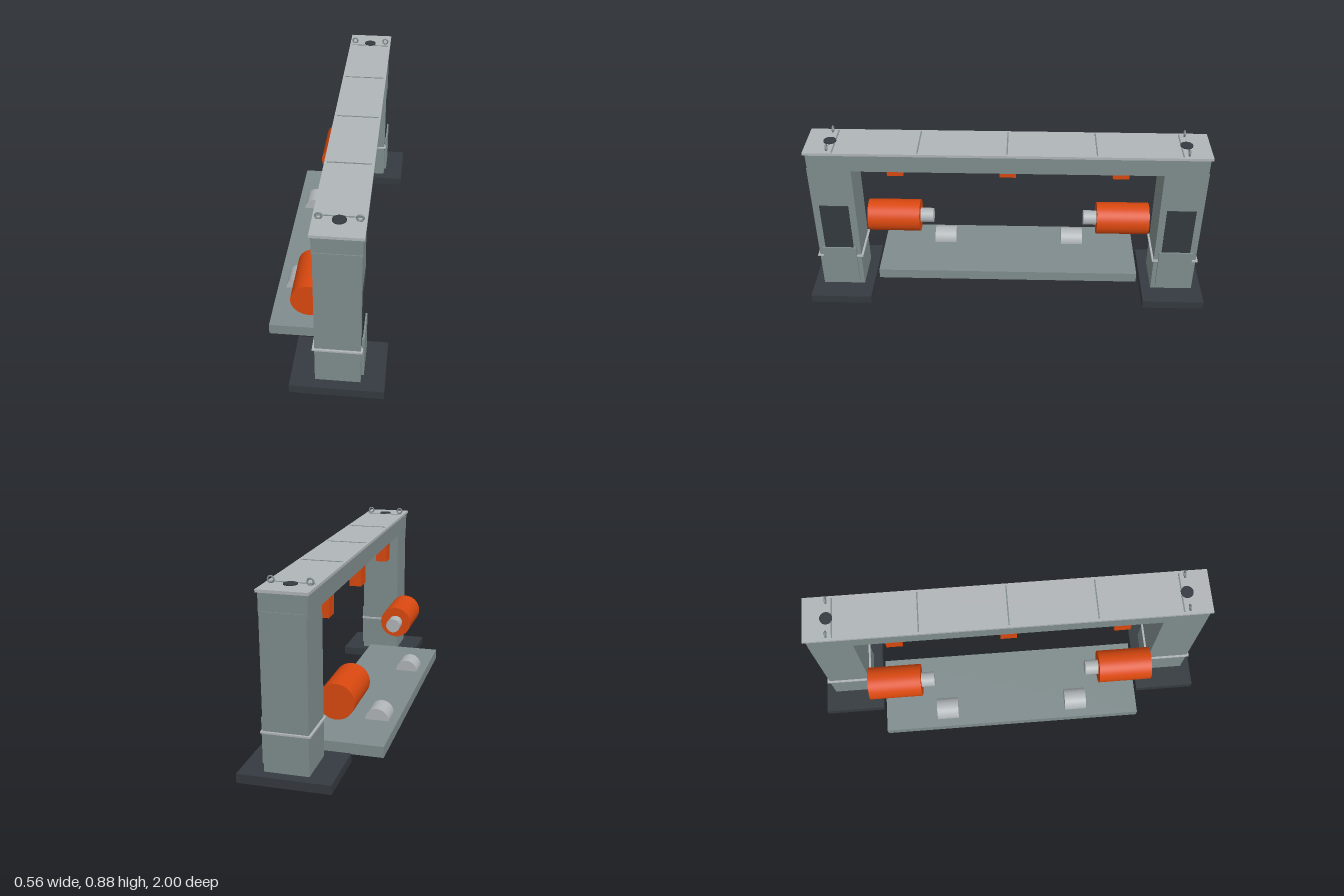
import * as THREE from 'three';

const mat = (name, color) => {
  const m = new THREE.MeshStandardMaterial({ color });
  m.name = name;
  return m;
};

export function createModel() {
  const steel = mat('steel grey', 0x7f8c8d);
  const light = mat('light grey', 0xb0b5b8);
  const dark = mat('dark charcoal', 0x343a40);
  const orange = mat('orange', 0xd9480f);

  const model = new THREE.Group();
  model.name = 'gantryFrame';

  const add = (name, geometry, material, x, y, z) => {
    const mesh = new THREE.Mesh(geometry, material);
    mesh.name = name;
    mesh.position.set(x, y, z);
    model.add(mesh);
    return mesh;
  };
  // box given by its extents on each axis
  const box = (name, material, [x0, x1], [y0, y1], [z0, z1]) =>
    add(name, new THREE.BoxGeometry(x1 - x0, y1 - y0, z1 - z0), material,
      (x0 + x1) / 2, (y0 + y1) / 2, (z0 + z1) / 2);
  // cylinder lying along z, centred at z
  const rod = (name, material, r, length, x, y, z) =>
    add(name, new THREE.CylinderGeometry(r, r, length, 48).rotateX(Math.PI / 2), material, x, y, z);

  // crossbeam and its cover plate
  box('beam', steel, [-0.035, 0.175], [0.74, 0.83], [-0.947, 0.947]);
  box('beamCover', light, [-0.042, 0.182], [0.83, 0.843], [-0.958, 0.958]);
  for (const z of [-0.82, -0.42, 0, 0.42, 0.82])
    box('coverSeam', steel, [-0.03, 0.17], [0.842, 0.845], [z - 0.003, z + 0.003]);

  // low platform between the columns
  box('platform', steel, [-0.283, 0.112], [0.028, 0.081], [-0.672, 0.672]);

  // sensor blocks hanging under the beam
  for (const z of [-0.555, 0, 0.555])
    box('sensorBlock', orange, [-0.015, 0.045], [0.63, 0.742], [z - 0.04, z + 0.04]);

  // parts repeated at both ends
  for (const s of [1, -1]) {
    const c = s * 0.846;
    const span = (half) => [c - half, c + half];
    box('basePlate', dark, [-0.14, 0.28], [0, 0.042], span(0.154));
    box('column', steel, [-0.03, 0.172], [0.042, 0.75], span(0.105));
    box('columnBand', light, [-0.04, 0.18], [0.222, 0.23], span(0.115));
    box('serviceDoor', dark, [0.17, 0.177], [0.19, 0.535], span(0.071));
    box('lowerPanel', steel, [0.174, 0.185], [0.067, 0.281], span(0.084));

    // side motor with its shaft
    rod('motor', orange, 0.083, 0.27, -0.083, 0.298, s * 0.595);
    rod('motorShaft', light, 0.038, 0.08, -0.083, 0.298, s * 0.432);

    // roller sunk into the platform
    rod('roller', light, 0.057, 0.113, -0.185, 0.081, s * 0.342);

    // cable port and lifting eyes on top
    add('cablePort', new THREE.CylinderGeometry(0.03, 0.03, 0.006, 32), dark, 0.07, 0.845, c);
    for (const x of [-0.015, 0.154])
      add('liftingEye', new THREE.TorusGeometry(0.0133, 0.004, 10, 28), steel, x, 0.859, c);
  }
  return model;
}
